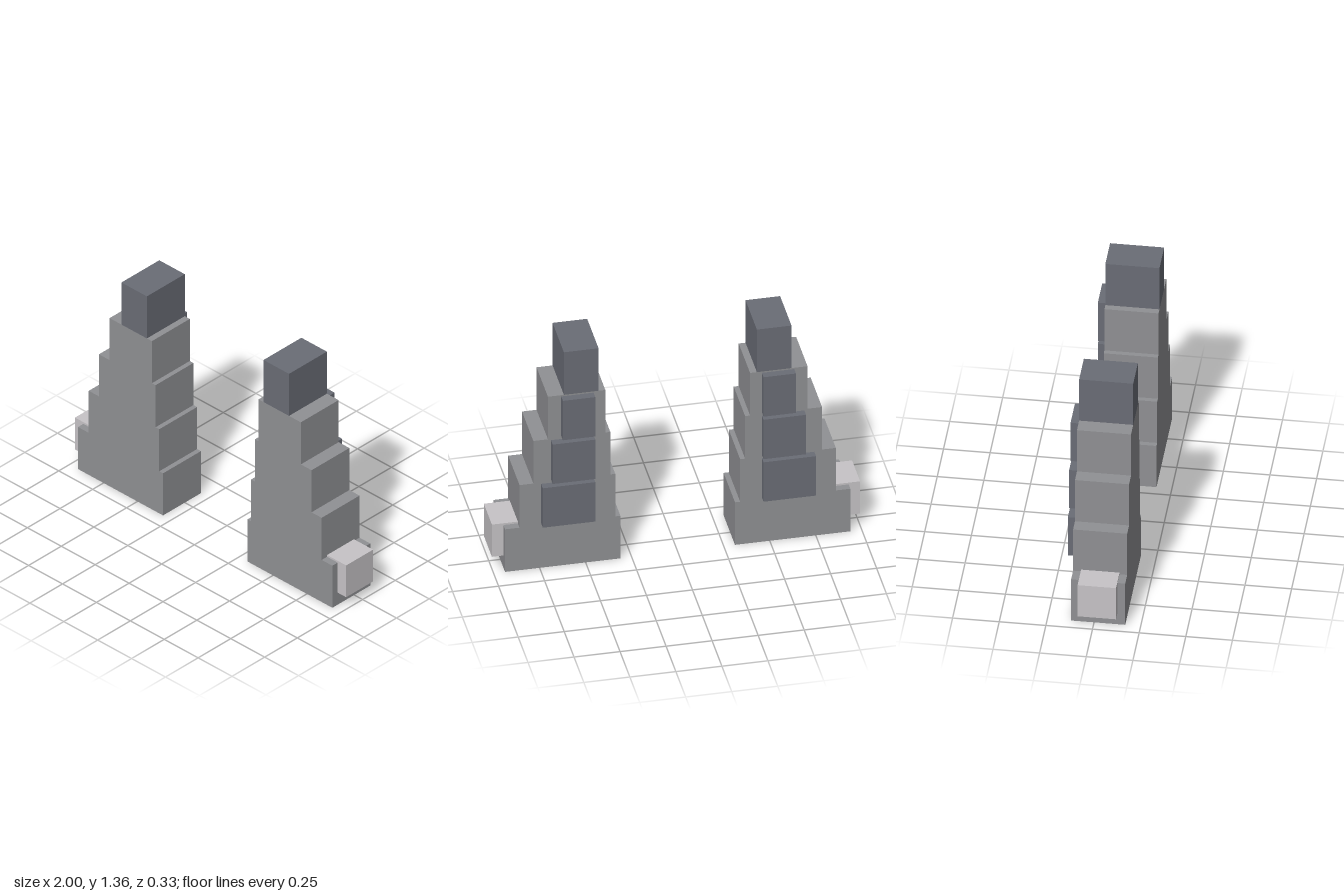
import * as THREE from 'three';

const material = (name, color) => {
  const m = new THREE.MeshStandardMaterial({ color });
  m.name = name;
  return m;
};

// Box spanning the given min/max corners
function block(name, mat, [x0, x1], [y0, y1], [z0, z1]) {
  const mesh = new THREE.Mesh(new THREE.BoxGeometry(x1 - x0, y1 - y0, z1 - z0), mat);
  mesh.position.set((x0 + x1) / 2, (y0 + y1) / 2, (z0 + z1) / 2);
  mesh.name = name;
  return mesh;
}

export function createModel() {
  const grey = material('mid grey', 0x909194);
  const dark = material('dark slate', 0x6a6d76);
  const light = material('light grey', 0xc7c4c7);

  const step = 0.271;                       // tier height
  const depth = [-0.123, 0.167];
  // Inner and outer x of each tier, from the bottom up
  const tiers = [[0.311, 0.938], [0.339, 0.859], [0.366, 0.784], [0.393, 0.705], [0.43, 0.618]];
  const panelOuter = [0.742, 0.688, 0.633];

  const model = new THREE.Group();
  model.name = 'steppedTowers';

  for (const side of [1, -1]) {
    const tower = new THREE.Group();
    tower.name = side > 0 ? 'leftTower' : 'rightTower';
    // Mirror a span of x to this side
    const span = (a, b) => (side > 0 ? [a, b] : [-b, -a]);

    // Stacked tiers with a dark cap
    tiers.forEach(([a, b], i) => {
      const cap = i === tiers.length - 1;
      tower.add(block(cap ? 'cap' : `tier${i + 1}`, cap ? dark : grey,
        span(a, b), [i * step, (i + 1) * step], depth));
    });

    // Raised panels on the back
    panelOuter.forEach((outer, i) => {
      const y = 0.283 + i * step;
      tower.add(block(`backPanel${i + 1}`, dark, span(0.457, outer), [y, y + 0.251], [-0.167, -0.123]));
    });

    // Light block on the outer side
    tower.add(block('sideBlock', light, span(0.795, 1), [0.077, 0.282], [-0.08, 0.126]));
    model.add(tower);
  }
  return model;
}
